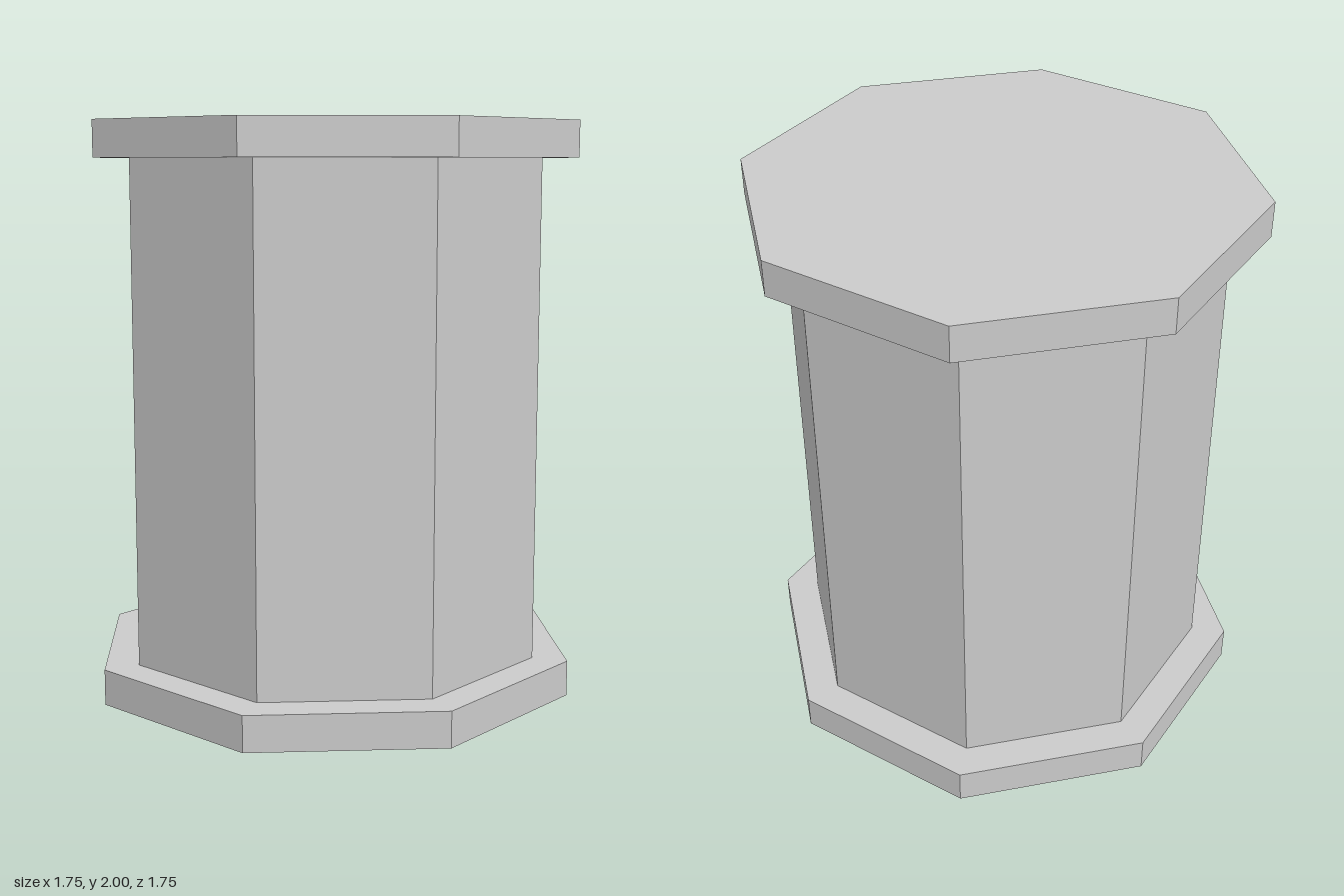
import * as THREE from 'three';

const SIDES = 8;
const HEIGHT = 2;
const PLATE = 0.125; // thickness of the end plates
const PLATE_RADIUS = 0.875;
const SHAFT_RADIUS = 0.75;

export function createModel() {
  const group = new THREE.Group();
  group.name = 'octagonalColumn';
  const material = new THREE.MeshStandardMaterial({ color: 0xcccccc, flatShading: true });

  // An upright octagonal prism with corners on the x and z axes
  function addPrism(name, radius, bottom, height) {
    const geometry = new THREE.CylinderGeometry(radius, radius, height, SIDES);
    const mesh = new THREE.Mesh(geometry, material);
    mesh.name = name;
    mesh.position.y = bottom + height / 2;
    group.add(mesh);
  }

  addPrism('basePlate', PLATE_RADIUS, 0, PLATE);
  addPrism('shaft', SHAFT_RADIUS, PLATE, HEIGHT - 2 * PLATE);
  addPrism('topPlate', PLATE_RADIUS, HEIGHT - PLATE, PLATE);

  return group;
}
